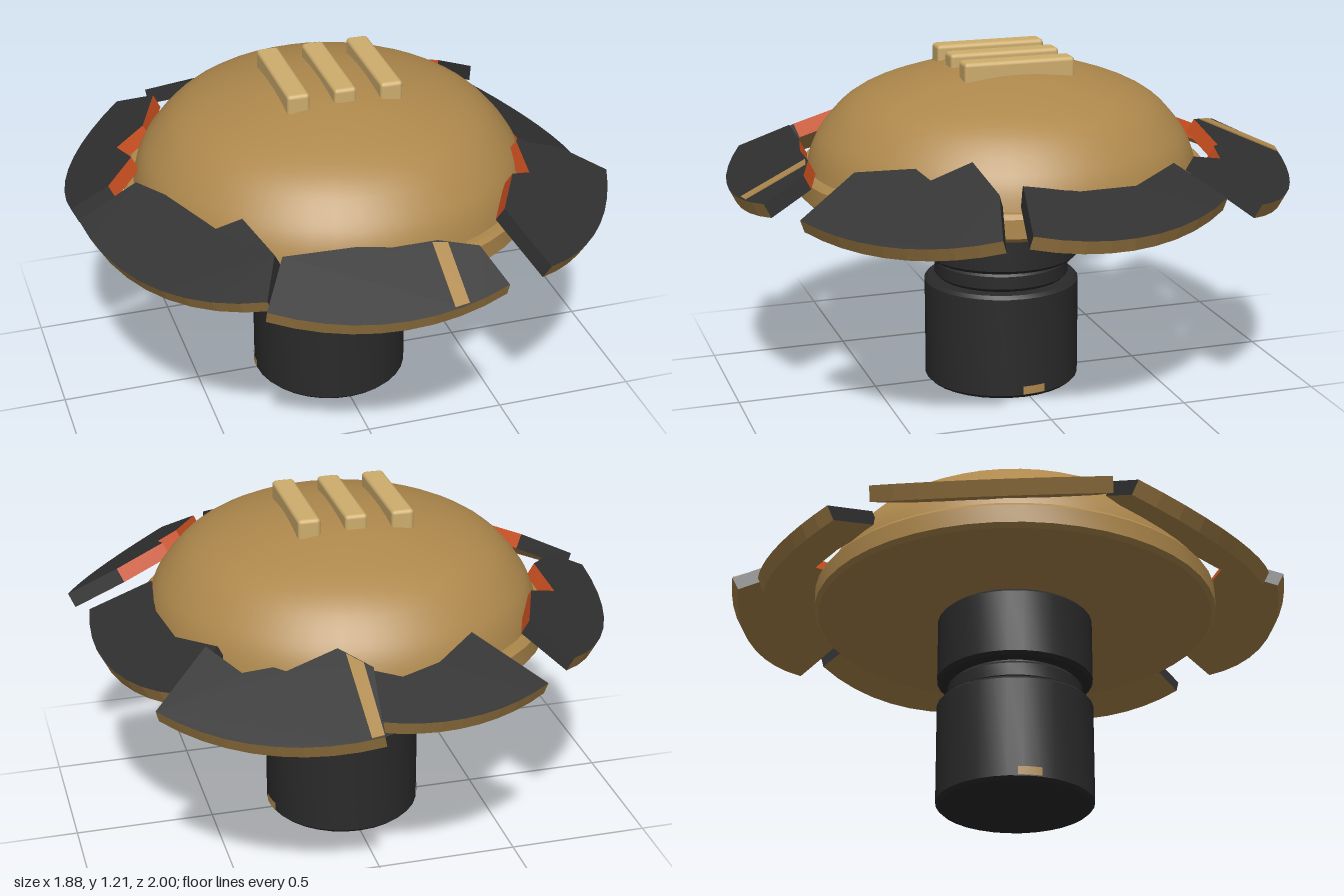
import * as THREE from 'three';
import { toCreasedNormals } from 'three/addons/utils/BufferGeometryUtils.js';
import { RoundedBoxGeometry } from 'three/addons/geometries/RoundedBoxGeometry.js';

const mat = (name, color, side = THREE.FrontSide) =>
  new THREE.MeshStandardMaterial({ name, color, side });

// Tilted flat slab. outline: [x, z] points, anticlockwise from above.
// tilt: { dir: [x, z] downhill direction, slope, y: height at distance 0.85 }
// sideSlot(i) gives the material slot of the wall after point i.
function slab(outline, tilt, lift, thick, sideSlot) {
  const dir = new THREE.Vector2(...tilt.dir).normalize();
  const normal = new THREE.Vector3(dir.x * tilt.slope, 1, dir.y * tilt.slope).normalize();
  const top = outline.map(([x, z]) => new THREE.Vector3(
    x, tilt.y - tilt.slope * (x * dir.x + z * dir.y - 0.85), z).addScaledVector(normal, lift));
  const bottom = top.map(p => p.clone().addScaledVector(normal, -thick));
  const slots = [[], [], []];
  const faces = THREE.ShapeUtils.triangulateShape(
    outline.map(([x, z]) => new THREE.Vector2(x, -z)), []);
  for (const [a, b, c] of faces) {
    slots[0].push(top[a], top[b], top[c]);
    slots[1].push(bottom[a], bottom[c], bottom[b]);
  }
  top.forEach((p, i) => {
    const j = (i + 1) % top.length;
    slots[sideSlot(i)].push(bottom[i], bottom[j], top[j], bottom[i], top[j], p);
  });
  const geometry = new THREE.BufferGeometry().setFromPoints(slots.flat());
  let start = 0;
  slots.forEach((list, i) => {
    geometry.addGroup(start, list.length, i);
    start += list.length;
  });
  geometry.computeVertexNormals();
  return geometry;
}

// Points along the outer arc between two corners, anticlockwise from above
function arc(from, to, steps = 9) {
  const a0 = Math.atan2(-from[1], from[0]);
  let a1 = Math.atan2(-to[1], to[0]);
  if (a1 < a0) a1 += Math.PI * 2;
  const r0 = Math.hypot(...from), r1 = Math.hypot(...to);
  return Array.from({ length: steps + 1 }, (_, i) => {
    const t = i / steps, a = a0 + (a1 - a0) * t, r = r0 + (r1 - r0) * t;
    return [r * Math.cos(a), -r * Math.sin(a)];
  });
}

// Broken armour plates: jagged inner edge, then the two outer corners
const PLATES = [
  { name: 'frontPlate', dir: [-0.08, 1], slope: 0.5, y: 0.85,
    inner: [[0.27, 0.8], [0.14, 0.755], [-0.01, 0.75], [-0.13, 0.725], [-0.37, 0.71]],
    outer: [[-0.47, 0.88], [0.32, 0.947]],
    stripe: [[0.12, 0.76], [0.12, 0.985], [0.17, 0.98], [0.17, 0.77]] },
  { name: 'frontRightPlate', dir: [-0.815, 0.58], slope: 0.6, y: 0.825,
    inner: [[-0.39, 0.69], [-0.445, 0.5], [-0.53, 0.48], [-0.645, 0.25], [-0.72, 0.14]],
    outer: [[-0.926, 0.153], [-0.455, 0.83]] },
  { name: 'backRightPlate', dir: [-0.93, -0.37], slope: 0.52, y: 0.82,
    inner: [[-0.8, 0.05], [-0.69, -0.08], [-0.71, -0.24], [-0.6, -0.3], [-0.51, -0.53]],
    outer: [[-0.62, -0.68], [-0.935, 0.06]] },
  { name: 'backPlate', dir: [-0.2, -0.98], slope: 0.5, y: 0.82,
    inner: [[-0.285, -0.59], [-0.14, -0.7], [0, -0.75], [0.09, -0.725]],
    outer: [[0.12, -0.91], [-0.487, -0.79]] },
  { name: 'backLeftPlate', dir: [0.5, -0.866], slope: 0.53, y: 0.85,
    inner: [[0.1, -0.755], [0.19, -0.645], [0.365, -0.66], [0.4, -0.63], [0.5, -0.61], [0.59, -0.47]],
    outer: [[0.79, -0.635], [0.13, -1]],
    stripe: [[0.17, -0.99], [0.13, -0.995], [0.125, -0.73], [0.17, -0.675]] },
  { name: 'leftPlate', dir: [0.96, -0.2], slope: 0.5, y: 0.78,
    inner: [[0.54, -0.42], [0.65, -0.24], [0.68, -0.03], [0.66, 0.16]],
    outer: [[0.88, 0.2], [0.7, -0.55]] },
  { name: 'frontLeftPlate', dir: [0.77, 0.64], slope: 0.6, y: 0.855,
    inner: [[0.765, 0.275], [0.59, 0.31], [0.585, 0.45], [0.51, 0.48], [0.41, 0.66]],
    outer: [[0.5, 0.865], [0.94, 0.32]] },
];

export function createModel() {
  const model = new THREE.Group();
  model.name = 'cappedPost';
  const gold = mat('gold', 0xae884c);
  const paleGold = mat('paleGold', 0xcfae6e);
  const charcoal = mat('charcoal', 0x303030);
  const black = mat('black', 0x2a2a2a);
  const orange = mat('glowingOrange', 0xcc5020);
  const goldInlay = mat('goldInlay', 0xae884c, THREE.DoubleSide);

  const add = (name, geometry, material, x = 0, y = 0, z = 0.02) => {
    const mesh = new THREE.Mesh(geometry, material);
    mesh.name = name;
    mesh.position.set(x, y, z);
    model.add(mesh);
    return mesh;
  };
  const lathe = (points, segments) => toCreasedNormals(
    new THREE.LatheGeometry(points.map(p => new THREE.Vector2(...p)), segments), 0.5);

  // Post: two drums with a narrow neck between them
  const drum = (name, r, y0, y1, b = 0.012) => add(name, lathe([
    [0, y0], [r - b, y0], [r, y0 + b], [r, y1 - b], [r - b, y1], [0, y1]], 32), black);
  drum('lowerDrum', 0.28, 0, 0.385);
  drum('neckCore', 0.225, 0.37, 0.48);
  drum('neckRing', 0.243, 0.388, 0.458);
  drum('upperDrum', 0.28, 0.465, 0.72);

  // Small inlays low on both sides of the post
  for (const side of [1, -1]) {
    const start = side * Math.PI / 2 - 0.15 + side * 0.12;
    add(side > 0 ? 'leftInlay' : 'rightInlay', new THREE.CylinderGeometry(
      0.282, 0.282, 0.03, 6, 1, true, start, 0.3), goldInlay, 0, 0.03);
  }

  // Cap: flat rim with a dome on it
  add('capRim', lathe([[0, 0.72], [0.715, 0.72], [0.73, 0.735], [0.73, 0.8],
    [0.715, 0.815], [0.6, 0.815]], 48), gold);
  const domeCurve = new THREE.SplineCurve([[0.695, 0.81], [0.675, 0.88], [0.635, 0.95],
    [0.55, 1.04], [0.42, 1.105], [0.2, 1.165], [0, 1.18]].map(p => new THREE.Vector2(...p)));
  const domePoints = domeCurve.getPoints(18);
  domePoints[18].set(0, 1.18);
  add('dome', new THREE.LatheGeometry(domePoints, 48), gold);

  // Three ridges on the crown
  for (const x of [-0.165, 0, 0.165]) {
    add('crownRidge', new RoundedBoxGeometry(0.08, 0.08, 0.4, 2, 0.014), paleGold, x, 1.174, 0.015);
  }

  // Plates: dark top and ends, gold underside and rim, orange broken edge
  for (const plate of PLATES) {
    const outline = [...plate.inner, ...arc(...plate.outer)];
    const n = plate.inner.length;
    const sideSlot = i => (i < n - 1 ? 2 : i === n - 1 || i === outline.length - 1 ? 0 : 1);
    add(plate.name, slab(outline, plate, 0, 0.055, sideSlot), [charcoal, gold, orange], 0, 0, 0);
    if (plate.stripe) {
      add(plate.name + 'Stripe', slab(plate.stripe, plate, 0.004, 0.006, () => 0),
        [gold, gold, gold], 0, 0, 0);
    }
  }
  return model;
}
